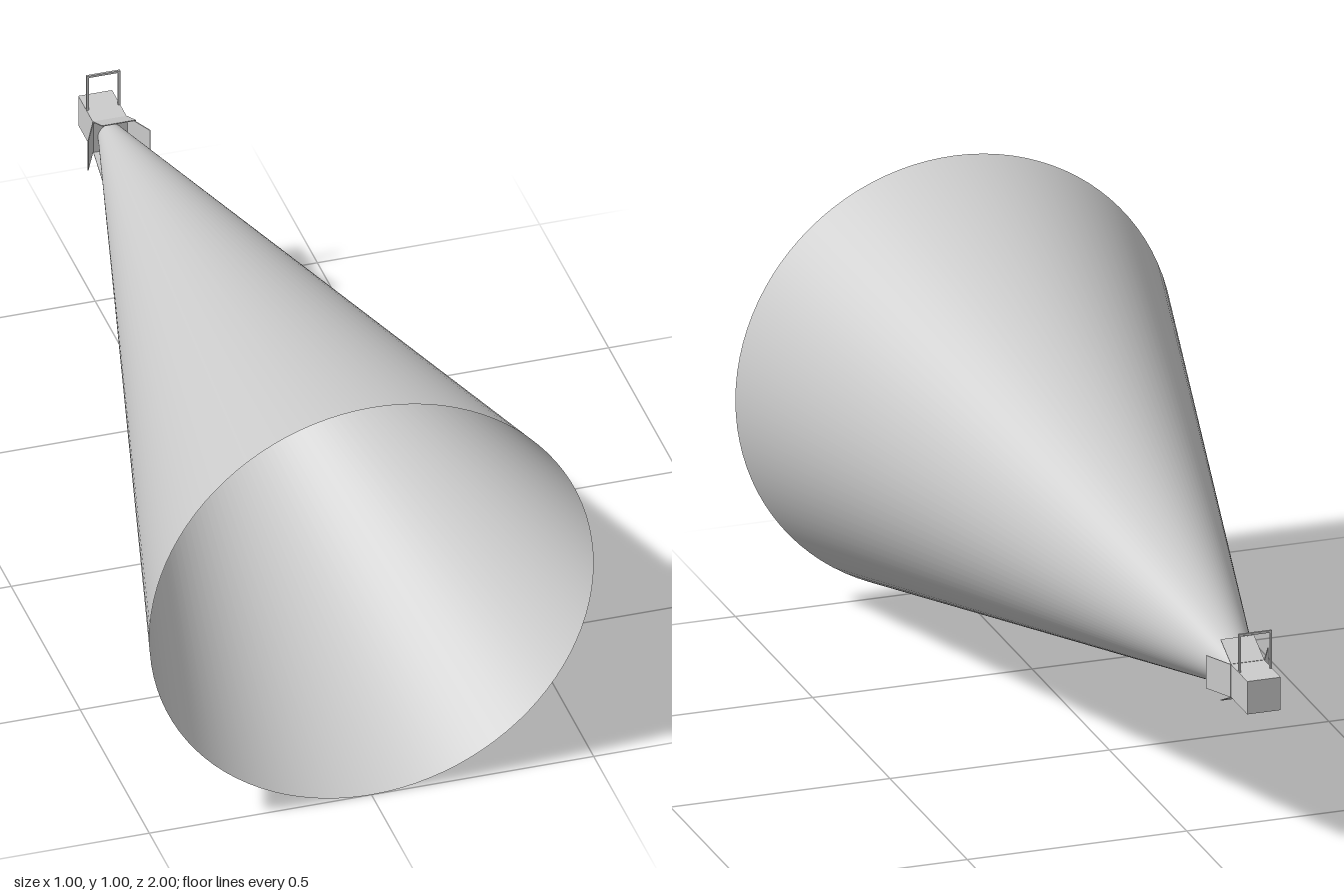
import * as THREE from 'three';

export function createModel() {
  const group = new THREE.Group();
  const mat = new THREE.MeshStandardMaterial({ color: 0xcccccc });
  const thin = new THREE.MeshStandardMaterial({ color: 0xcccccc, side: THREE.DoubleSide });
  const half = 0.038, frontZ = -0.89, axisY = 0.5;

  function add(name, geometry, material, parent = group) {
    const mesh = new THREE.Mesh(geometry, material);
    mesh.name = name;
    parent.add(mesh);
    return mesh;
  }

  // Open light beam, widening towards the front
  const beam = new THREE.CylinderGeometry(0.028, 0.5, 1 - frontZ, 96, 1, true);
  beam.rotateX(-Math.PI / 2);
  add('lightBeam', beam, thin).position.set(0, axisY, (1 + frontZ) / 2);

  // Lamp housing
  add('housing', new THREE.BoxGeometry(half * 2, half * 2, 0.11), mat)
    .position.set(0, axisY, -0.945);

  // Shallow domed lens
  const lens = new THREE.SphereGeometry(0.028, 32, 8, 0, Math.PI * 2, 0, Math.PI / 2);
  lens.rotateX(Math.PI / 2).scale(1, 1, 0.4);
  add('lens', lens, mat).position.set(0, axisY, frontZ);

  // Four barn doors hinged on the housing's front edges
  const run = 0.067, flare = 0.032;
  for (let i = 0; i < 4; i++) {
    const hinge = new THREE.Group();
    hinge.name = 'barnDoor' + (i + 1);
    hinge.position.set(0, axisY, frontZ);
    hinge.rotation.z = i * Math.PI / 2;
    const panel = add('barnDoorPanel',
      new THREE.BoxGeometry(half * 2, 0.002, Math.hypot(run, flare)), mat, hinge);
    panel.position.set(0, half + flare / 2, run / 2 - 0.004);
    panel.rotation.x = -Math.atan2(flare, run);
    group.add(hinge);
  }

  // Thin mounting bracket above the housing
  const bracket = new THREE.Group();
  bracket.name = 'mountingBracket';
  bracket.position.set(0, axisY + half, -0.943);
  const rod = 0.005, rise = 0.088;
  for (const side of [-1, 1]) {
    add('bracketLeg', new THREE.BoxGeometry(rod, rise, rod), mat, bracket)
      .position.set(side * (half - rod / 2), rise / 2, 0);
  }
  add('bracketBar', new THREE.BoxGeometry(half * 2, rod, rod), mat, bracket)
    .position.y = rise - rod / 2;
  group.add(bracket);

  return group;
}
